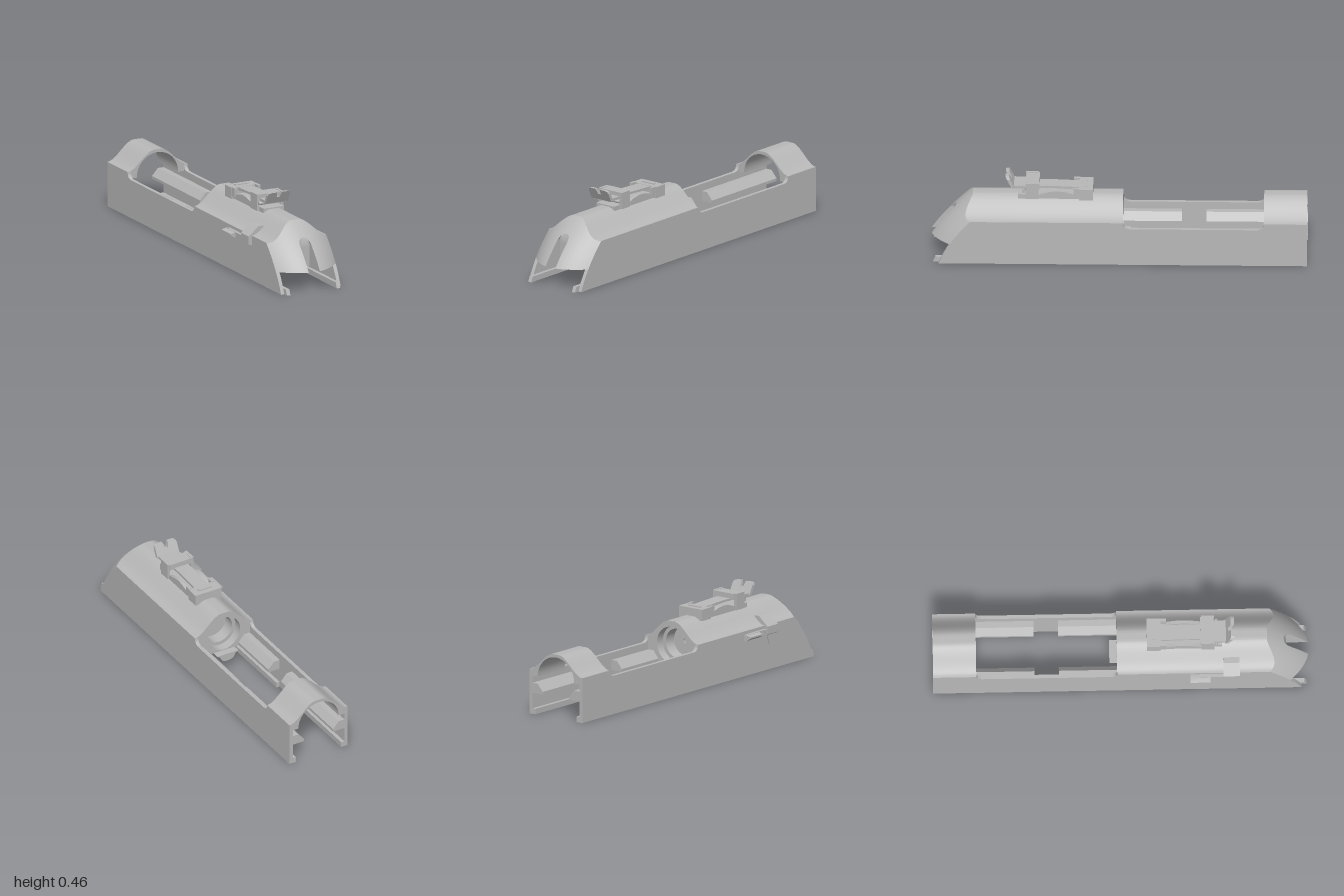
import * as THREE from 'three';
import { toCreasedNormals } from 'three/addons/utils/BufferGeometryUtils.js';

const steel = new THREE.MeshStandardMaterial({ color: 0xb8b8b8, side: THREE.DoubleSide });
steel.name = 'steel grey';

// Height of the outer cross-section at x, and where the rounded end cuts it
const top = (x) => 0.245 + 0.103 * (1 - THREE.MathUtils.smoothstep(Math.abs(x), 0.02, 0.18));
const endZ = (x, y) => 1.06 - 0.3825 * y - 1.213 * y * y - 3.1 * x * x;
const HALF = 0.18, FLOOR = 0.112, BREECH = -0.02;
const SLOT = 0.0335, SLOT_Z = 0.88;
const slotTop = (x) => 0.2365 + Math.sqrt(Math.max(0, SLOT * SLOT - x * x));
const range = (a, b, n) => Array.from({ length: n + 1 }, (_, i) => a + (b - a) * i / n);

function add(group, name, geometry, crease = 0.5) {
  const mesh = new THREE.Mesh(toCreasedNormals(geometry, crease), steel);
  mesh.name = name;
  group.add(mesh);
  return mesh;
}

function box(group, name, x0, x1, y0, y1, z0, z1) {
  const g = new THREE.BoxGeometry(x1 - x0, y1 - y0, z1 - z0);
  g.translate((x0 + x1) / 2, (y0 + y1) / 2, (z0 + z1) / 2);
  return add(group, name, g);
}

// Ruled sheet over the values us, with nv steps across
function sheet(group, name, us, nv, point, flip = false) {
  const pos = [], index = [], w = nv + 1;
  us.forEach((u) => { for (let j = 0; j <= nv; j++) pos.push(...point(u, j / nv)); });
  for (let i = 0; i < us.length - 1; i++) {
    for (let j = 0; j < nv; j++) {
      const a = i * w + j, b = a + w;
      if (flip) index.push(a, a + 1, b, b, a + 1, b + 1);
      else index.push(a, b, a + 1, b, b + 1, a + 1);
    }
  }
  const g = new THREE.BufferGeometry();
  g.setAttribute('position', new THREE.Float32BufferAttribute(pos, 3));
  g.setIndex(index);
  return add(group, name, g);
}

const toShape = (pts) => new THREE.Shape(pts.map((p) => new THREE.Vector2(p[0], p[1])));

// Cross-section in x, y pulled along z
function alongZ(group, name, shape, z0, z1) {
  const g = new THREE.ExtrudeGeometry(shape, { depth: z1 - z0, bevelEnabled: false, curveSegments: 24 });
  return add(group, name, g.translate(0, 0, z0));
}

// Side outline in z, y pulled along x
function alongX(group, name, shape, x0, x1) {
  const g = new THREE.ExtrudeGeometry(shape, { depth: x1 - x0, bevelEnabled: false, curveSegments: 10 });
  return add(group, name, g.rotateY(-Math.PI / 2).translate(x1, 0, 0));
}

function buildWalls(body) {
  const wall = new THREE.Shape();
  wall.moveTo(-1, 0).lineTo(-1, 0.245).lineTo(-0.77, 0.245);
  wall.quadraticCurveTo(-0.77, 0.21, -0.73, 0.21).lineTo(-0.06, 0.21);
  wall.quadraticCurveTo(BREECH, 0.21, BREECH, 0.245);
  range(0.245, 0, 14).forEach((y) => wall.lineTo(endZ(HALF, y), y));

  for (const s of [-1, 1]) {
    const span = (a, b) => (s > 0 ? [a, b] : [-b, -a]);
    alongX(body, 'sideWall', wall, ...span(0.16, HALF));
    // Lower lips, interrupted by a notch
    const lip = toShape([[-0.33, 0], [-0.33, 0.03], [endZ(0.15, 0.03), 0.03], [endZ(0.15, 0), 0]]);
    alongX(body, 'lowerLipFront', lip, ...span(0.14, 0.161));
    box(body, 'lowerLipBack', ...span(0.14, 0.161), 0, 0.03, -1, -0.46);
    // Inner rails with a sloping edge
    const rail = toShape([[0.161, 0.115], [0.161, 0.17], [0.125, 0.17], [0.09, 0.13], [0.09, 0.115]]
      .map(([x, y]) => [s * x, y]));
    alongZ(body, 'innerRailBack', rail, -1, -0.46);
    alongZ(body, 'innerRailFront', rail, -0.33, BREECH);
  }
}

function buildRing(body) {
  // Arched bridge with a round bore
  const arch = range(HALF, -HALF, 40).map((x) => [x * 0.999, top(x)]);
  const bore = range(Math.PI, 0, 28).map((a) => [0.125 * Math.cos(a), 0.207 + 0.125 * Math.sin(a)]);
  alongZ(body, 'muzzleArch', toShape([[0.179, 0.207], ...arch, [-0.179, 0.207], ...bore]), -1, -0.77);
}

function buildBlock(body) {
  const left = range(-HALF, -SLOT, 16), mid = range(-SLOT, SLOT, 16), right = range(SLOT, HALF, 16);
  const all = [...left, ...mid.slice(1, -1), ...right];
  const mix = THREE.MathUtils.lerp;

  sheet(body, 'roundedTop', all, 1, (x, v) => [x, top(x), mix(endZ(x, top(x)), BREECH, v)]);
  for (const xs of [left, right]) {
    sheet(body, 'roundedEnd', xs, 14, (x, v) => {
      const y = mix(FLOOR, top(x), v);
      return [x, y, endZ(x, y)];
    });
    sheet(body, 'blockUnderside', xs, 1, (x, v) => [x, FLOOR, mix(BREECH, endZ(x, FLOOR), v)]);
  }
  // Vertical slot in the rounded end
  const slotBack = (x, y) => Math.min(SLOT_Z, endZ(x, y));
  sheet(body, 'endAboveSlot', mid, 6, (x, v) => {
    const y = mix(slotTop(x), top(x), v);
    return [x, y, endZ(x, y)];
  });
  sheet(body, 'slotBack', mid, 6, (x, v) => {
    const y = mix(FLOOR, slotTop(x), v);
    return [x, y, slotBack(x, y)];
  });
  sheet(body, 'slotRoof', mid, 1, (x, v) => {
    const y = slotTop(x);
    return [x, y, mix(slotBack(x, y), endZ(x, y), v)];
  });
  for (const s of [-1, 1]) {
    sheet(body, 'slotSide', range(FLOOR, 0.2365, 8), 1,
      (y, v) => [s * SLOT, y, mix(SLOT_Z, endZ(SLOT, y), v)], s < 0);
  }
  sheet(body, 'slotUnderside', mid, 1, (x, v) => [x, FLOOR, mix(BREECH, SLOT_Z, v)]);

  // Breech face with a stepped round recess
  const face = toShape([[-HALF, FLOOR], [HALF, FLOOR], ...range(HALF, -HALF, 40).map((x) => [x, top(x)])]);
  face.holes.push(new THREE.Path().absarc(0, 0.217, 0.1, 0, Math.PI * 2, true));
  add(body, 'breechFace', new THREE.ShapeGeometry(face, 24).translate(0, 0, BREECH));
  const steps = [[0.1, -0.02], [0.1, 0.03], [0.08, 0.03], [0.08, 0.1], [0.015, 0.1], [0.015, 0.15], [0, 0.15]];
  const recess = new THREE.LatheGeometry(steps.map((p) => new THREE.Vector2(...p)), 40);
  add(body, 'breechRecess', recess.rotateX(Math.PI / 2).translate(0, 0.217, 0));

  // Rounded rib below the breech
  const rib = new THREE.Shape();
  rib.moveTo(-0.065, FLOOR).lineTo(-0.045, 0.099).quadraticCurveTo(-0.038, 0.069, 0, 0.069);
  rib.quadraticCurveTo(0.038, 0.069, 0.045, 0.099).lineTo(0.065, FLOOR);
  alongZ(body, 'lowerRib', rib, -0.06, 0.14);
}

function buildSight(body) {
  const sight = new THREE.Group();
  sight.name = 'rearSight';
  body.add(sight);

  box(sight, 'sightBase', -0.062, 0.062, 0.33, 0.355, 0.15, 0.54);
  box(sight, 'hingeBlock', -0.08, 0.08, 0.33, 0.392, 0.14, 0.215);
  box(sight, 'hingeRib', -0.04, 0.04, 0.392, 0.397, 0.17, 0.185);
  const ramp = new THREE.Shape();
  ramp.moveTo(0.2, 0.335).quadraticCurveTo(0.27, 0.38, 0.34, 0.378);
  ramp.quadraticCurveTo(0.42, 0.37, 0.46, 0.335);
  const leaf = toShape([[0.2, 0.375], [0.2, 0.39], [0.38, 0.397], [0.56, 0.392], [0.56, 0.382], [0.38, 0.385]]);
  for (const s of [-1, 1]) {
    alongX(sight, 'sightRamp', ramp, s * 0.063 - 0.009, s * 0.063 + 0.009);
    box(sight, 'hingeEar', s * 0.07 - 0.008, s * 0.07 + 0.008, 0.345, 0.395, 0.21, 0.245);
    box(sight, 'sliderCheek', s * 0.072 - 0.008, s * 0.072 + 0.008, 0.335, 0.425, 0.43, 0.5);
  }
  alongX(sight, 'sightLeaf', leaf, -0.042, 0.042);
  box(sight, 'slider', -0.072, 0.072, 0.39, 0.423, 0.425, 0.495);
  const pin = new THREE.CylinderGeometry(0.009, 0.009, 0.15, 16);
  add(sight, 'sliderPin', pin.rotateZ(Math.PI / 2).translate(0, 0.378, 0.51));
  box(sight, 'bladeArm', -0.06, 0.06, 0.388, 0.402, 0.49, 0.57);

  // Notched blade, leaning outward
  const blade = toShape([[-0.067, 0.39], [0.067, 0.39], [0.067, 0.44], [0.062, 0.451], [0.05, 0.455],
    [0.015, 0.455], [0.008, 0.425], [-0.008, 0.425], [-0.015, 0.455], [-0.05, 0.455], [-0.062, 0.451], [-0.067, 0.44]]);
  const mesh = alongZ(sight, 'notchedBlade', blade, 0.555, 0.573);
  const p = mesh.geometry.attributes.position;
  for (let i = 0; i < p.count; i++) p.setZ(i, p.getZ(i) + (p.getY(i) - 0.39) * 0.5);
  mesh.geometry.computeVertexNormals();
}

function buildLever(body) {
  const lever = new THREE.Group();
  lever.name = 'safetyLever';
  body.add(lever);
  const pad = toShape([[-0.2, 0.2], [-0.2, 0.242], [-0.142, 0.292], [-0.11, 0.292], [-0.11, 0.25], [-0.17, 0.195], [-0.192, 0.195]]);
  alongZ(lever, 'leverPad', pad, 0.545, 0.632);
  alongX(lever, 'leverTail', toShape([[0.545, 0.235], [0.632, 0.235], [0.605, 0.135], [0.582, 0.135]]), -0.185, -0.178);
  box(lever, 'leverArm', -0.197, -0.178, 0.2, 0.228, 0.38, 0.55);
  alongZ(lever, 'leverTab', toShape([[-0.18, 0.195], [-0.2, 0.197], [-0.225, 0.212], [-0.225, 0.22], [-0.2, 0.226], [-0.18, 0.226]]), 0.37, 0.475);
}

export function createModel() {
  const model = new THREE.Group();
  model.name = 'slideAssembly';
  const body = new THREE.Group();
  body.name = 'slideBody';
  body.position.x = 0.02;
  model.add(body);
  buildWalls(body);
  buildRing(body);
  buildBlock(body);
  buildSight(body);
  buildLever(body);
  return model;
}
